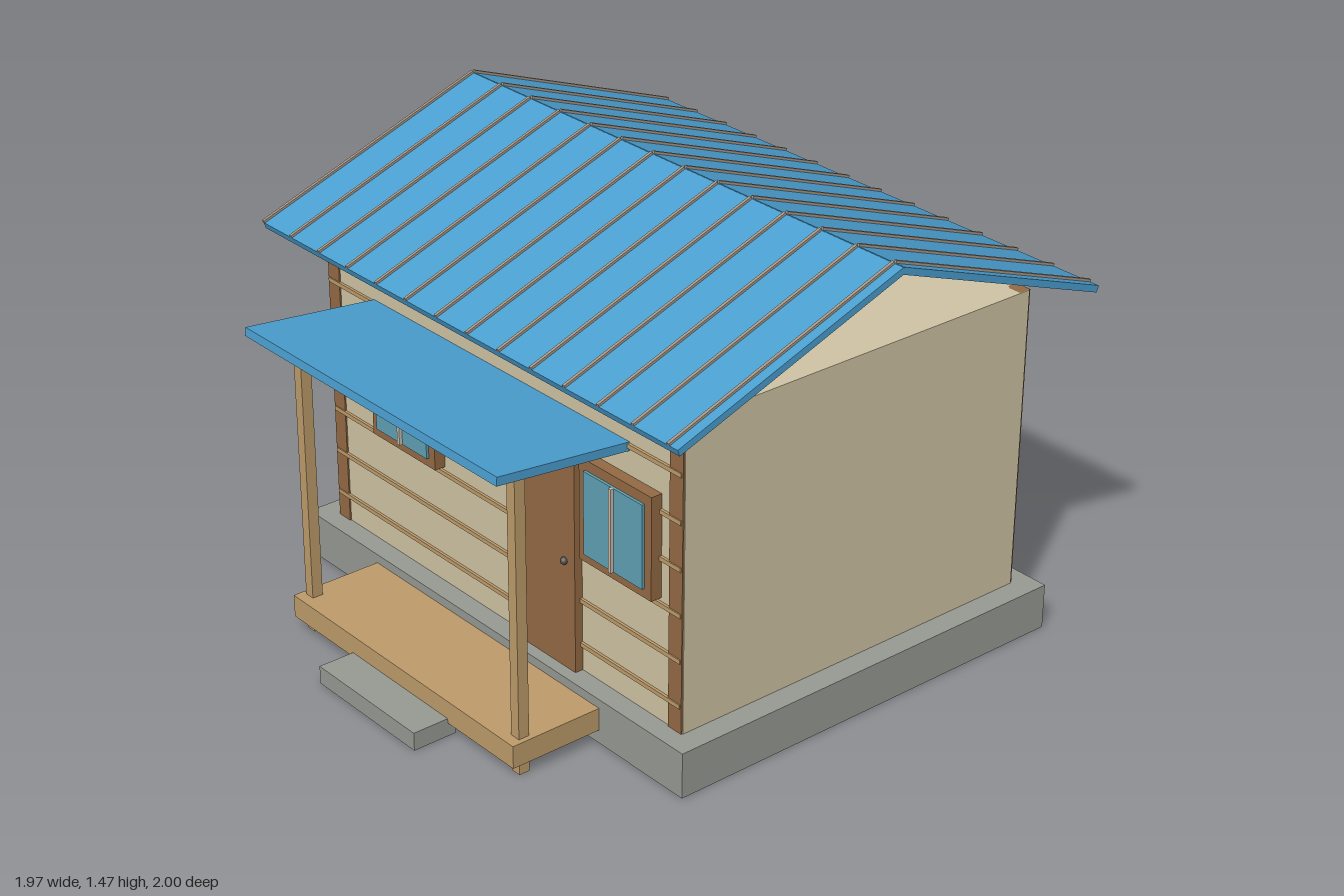
import * as THREE from 'three';

const mat = (name, color, flatShading = false) => {
  const m = new THREE.MeshStandardMaterial({ color, flatShading });
  m.name = name;
  return m;
};

export function createModel() {
  const house = new THREE.Group();
  house.name = 'cabin';
  const wall = mat('cream wall', 0xd0c5a5);
  const stone = mat('grey concrete', 0x989b94);
  const brown = mat('brown wood', 0x946a44);
  const tan = mat('light wood', 0xbf9d6c);
  const blue = mat('blue roof', 0x4a9fd0);
  const rib = mat('roof rib', 0xa8998a);
  const glass = mat('window glass', 0x5fa2b5);
  const trim = mat('pale trim', 0xc9bfae);
  const metal = mat('dark metal', 0x55504a);

  // Box given by its limits on each axis
  const box = (name, material, x0, x1, y0, y1, z0, z1, parent = house) => {
    const mesh = new THREE.Mesh(new THREE.BoxGeometry(x1 - x0, y1 - y0, z1 - z0), material);
    mesh.position.set((x0 + x1) / 2, (y0 + y1) / 2, (z0 + z1) / 2);
    mesh.name = name;
    parent.add(mesh);
    return mesh;
  };

  // Body
  box('foundation', stone, -0.925, 0.925, 0, 0.15, -0.92, 0.56);
  box('walls', wall, -0.848, 0.848, 0.15, 1.15, -0.847, 0.492);

  // Corner boards on front and back
  for (const s of [-1, 1]) {
    const [x0, x1] = s < 0 ? [-0.845, -0.788] : [0.788, 0.845];
    box('frontCornerBoard', brown, x0, x1, 0.15, 1.15, 0.45, 0.497);
    box('backCornerBoard', brown, x0, x1, 0.15, 1.15, -0.853, -0.81);
  }

  // Horizontal siding battens
  for (let i = 0; i < 6; i++) {
    const y = 0.24 + i * 0.149;
    box('sidingBatten', tan, -0.84, 0.84, y - 0.007, y + 0.007, 0.485, 0.501);
  }

  // Door and knob
  box('door', brown, 0.085, 0.395, 0.15, 0.91, 0.485, 0.52);
  const knob = new THREE.Mesh(new THREE.SphereGeometry(0.012, 16, 12), metal);
  knob.position.set(0.35, 0.512, 0.524);
  knob.name = 'doorKnob';
  house.add(knob);

  // Windows
  for (const x of [-0.427, 0.59]) {
    const win = new THREE.Group();
    win.name = 'window';
    win.position.x = x;
    house.add(win);
    box('windowFrame', brown, -0.16, 0.16, 0.557, 0.89, 0.485, 0.53, win);
    box('windowGlass', glass, -0.13, 0.13, 0.587, 0.857, 0.53, 0.539, win);
    box('windowMullion', trim, -0.006, 0.006, 0.587, 0.857, 0.538, 0.55, win);
  }

  // Sloped panel between two (z, y) centre points
  const slope = (name, width, zA, yA, zB, yB, t) => {
    const g = new THREE.Group();
    g.name = name;
    g.position.set(0, (yA + yB) / 2, (zA + zB) / 2);
    g.rotation.x = -Math.atan2(yB - yA, zB - zA);
    const len = Math.hypot(zB - zA, yB - yA);
    box(name + 'Panel', blue, -width / 2, width / 2, -t / 2, t / 2, -len / 2, len / 2, g);
    house.add(g);
    return { g, len };
  };

  // Main roof with standing ribs
  const t = 0.022;
  for (const [name, zA, yA, zB, yB] of [
    ['frontRoof', -0.183, 1.452, 0.633, 1.157],
    ['backRoof', -0.995, 1.157, -0.179, 1.452],
  ]) {
    const { g, len } = slope(name, 1.964, zA, yA, zB, yB, t);
    for (let i = 0; i < 14; i++) {
      const x = -0.98 + i * 0.148;
      box('roofRib', rib, x - 0.005, x + 0.005, t / 2 - 0.003, t / 2 + 0.008, -len / 2, len / 2, g);
    }
  }

  // Porch: roof, posts, deck and step
  slope('porchRoof', 1.22, 0.48, 0.98, 0.958, 1.029, 0.028);
  for (const x of [-0.518, 0.518]) {
    box('porchPost', tan, x - 0.018, x + 0.018, 0, 1.01, 0.805, 0.842);
  }
  box('porchDeck', tan, -0.553, 0.553, 0.045, 0.12, 0.55, 0.877);
  box('step', stone, -0.24, 0.24, 0, 0.06, 0.85, 1);

  return house;
}
